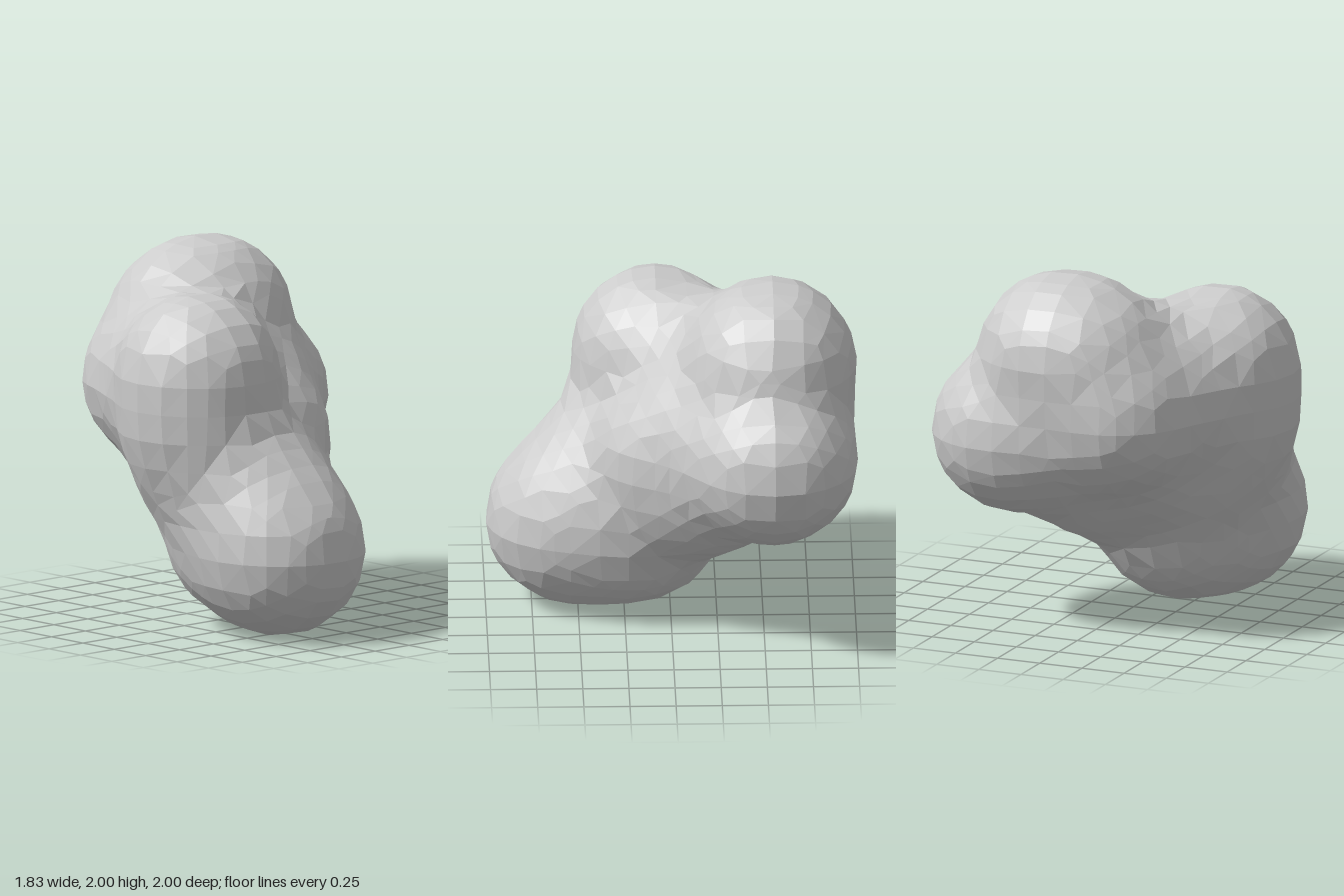
import * as THREE from 'three';

// Overlapping balls that melt into one lobed body: x, y, z, radius
const BALLS = [
  [-0.47, 1.39, 0.08, 0.44], [-0.47, 1.12, 0.09, 0.43], // upper lobe on the right-hand side
  [0.04, 1.52, -0.54, 0.44], [0.20, 1.54, -0.54, 0.44], // top lobe
  [-0.14, 1.24, -0.54, 0.45],                           // back lobe
  [0.46, 1.09, -0.55, 0.45],                            // side lobe
  [0.20, 1.14, -0.55, 0.42],                            // back web between the lobes
  [-0.31, 1.25, -0.24, 0.42], [-0.20, 1.37, -0.23, 0.40], // saddle between upper and top lobes
  [-0.29, 0.455, 0.545, 0.455],                         // foot lobe
  [-0.24, 0.46, 0.35, 0.43], [-0.19, 0.48, 0.16, 0.43], // sole
  [-0.30, 0.63, 0.42, 0.42], [-0.16, 0.62, 0.25, 0.41], // bridge to the foot
  [-0.34, 0.82, 0.27, 0.41], [-0.37, 0.88, 0.10, 0.41],
  [0.03, 0.79, -0.09, 0.40], [0.10, 0.84, -0.20, 0.39], // slanting underside
  [0.16, 0.95, -0.36, 0.38], [-0.15, 0.98, -0.24, 0.41],
  [-0.24, 0.85, -0.02, 0.40],
  [0.05, 1.15, -0.18, 0.40], [0.02, 0.98, 0.02, 0.39],  // core
  [0.20, 1.14, -0.33, 0.40], [0.28, 1.04, -0.36, 0.38],
];
const BLEND = 0.045;
const STEP = 0.156;
const N = 16;
const ORIGIN = [-1.24, -0.25, -1.25];

// Smooth union of the balls, negative inside
function field(x, y, z) {
  let sum = 0;
  for (const [cx, cy, cz, r] of BALLS) {
    sum += Math.exp((r - Math.hypot(x - cx, y - cy, z - cz)) / BLEND);
  }
  return -BLEND * Math.log(sum + 1e-30);
}

// Slide a point along the gradient onto the surface, staying near its cell
function settle(p) {
  const e = 0.002;
  const low = p.clone().subScalar(STEP / 2);
  const high = p.clone().addScalar(STEP / 2);
  for (let i = 0; i < 6; i++) {
    const f = field(p.x, p.y, p.z);
    const g = new THREE.Vector3(
      field(p.x + e, p.y, p.z) - field(p.x - e, p.y, p.z),
      field(p.x, p.y + e, p.z) - field(p.x, p.y - e, p.z),
      field(p.x, p.y, p.z + e) - field(p.x, p.y, p.z - e),
    ).divideScalar(2 * e);
    p.addScaledVector(g, -f / Math.max(g.lengthSq(), 0.5)).clamp(low, high);
  }
  return p;
}

// Coarse grid skin: one vertex per crossed cell, one quad per crossed edge
function lobedGeometry() {
  const at = (q) => q.map((v, a) => ORIGIN[a] + v * STEP);
  const inside = (q) => field(...at(q)) < 0;
  const moved = (q, ...axes) => q.map((v, a) => v - (axes.includes(a) ? 1 : 0));
  const cells = new Map();

  const vertex = (q) => {
    const key = q.join();
    if (!cells.has(key)) {
      const mean = new THREE.Vector3();
      let count = 0;
      for (let a = 0; a < 3; a++) {
        for (let k = 0; k < 4; k++) {
          const s = [...q];
          s[(a + 1) % 3] += k & 1;
          s[(a + 2) % 3] += k >> 1;
          const t = [...s];
          t[a] += 1;
          const fs = field(...at(s)), ft = field(...at(t));
          if (fs < 0 === ft < 0) continue;
          mean.add(new THREE.Vector3(...at(s)).lerp(new THREE.Vector3(...at(t)), fs / (fs - ft)));
          count++;
        }
      }
      cells.set(key, settle(mean.divideScalar(count)));
    }
    return cells.get(key);
  };

  const points = [];
  for (let i = 1; i < N; i++) for (let j = 1; j < N; j++) for (let k = 1; k < N; k++) {
    const q = [i, j, k];
    const here = inside(q);
    for (let a = 0; a < 3; a++) {
      const next = [...q];
      next[a] += 1;
      if (inside(next) === here) continue;
      const b = (a + 1) % 3, c = (a + 2) % 3;
      const quad = [q, moved(q, b), moved(q, b, c), moved(q, c)].map(vertex);
      if (!here) quad.reverse();
      const [A, B, C, D] = quad;
      // Split along the shorter diagonal
      if (A.distanceTo(C) < B.distanceTo(D)) points.push(A, B, C, A, C, D);
      else points.push(A, B, D, B, C, D);
    }
  }
  const geometry = new THREE.BufferGeometry().setFromPoints(points);
  geometry.computeVertexNormals();
  return geometry;
}

export function createModel() {
  const group = new THREE.Group();
  group.name = 'lobedBlob';
  const material = new THREE.MeshStandardMaterial({ color: 0xcccccc, flatShading: true });
  const body = new THREE.Mesh(lobedGeometry(), material);
  body.name = 'body';
  group.add(body);
  return group;
}
